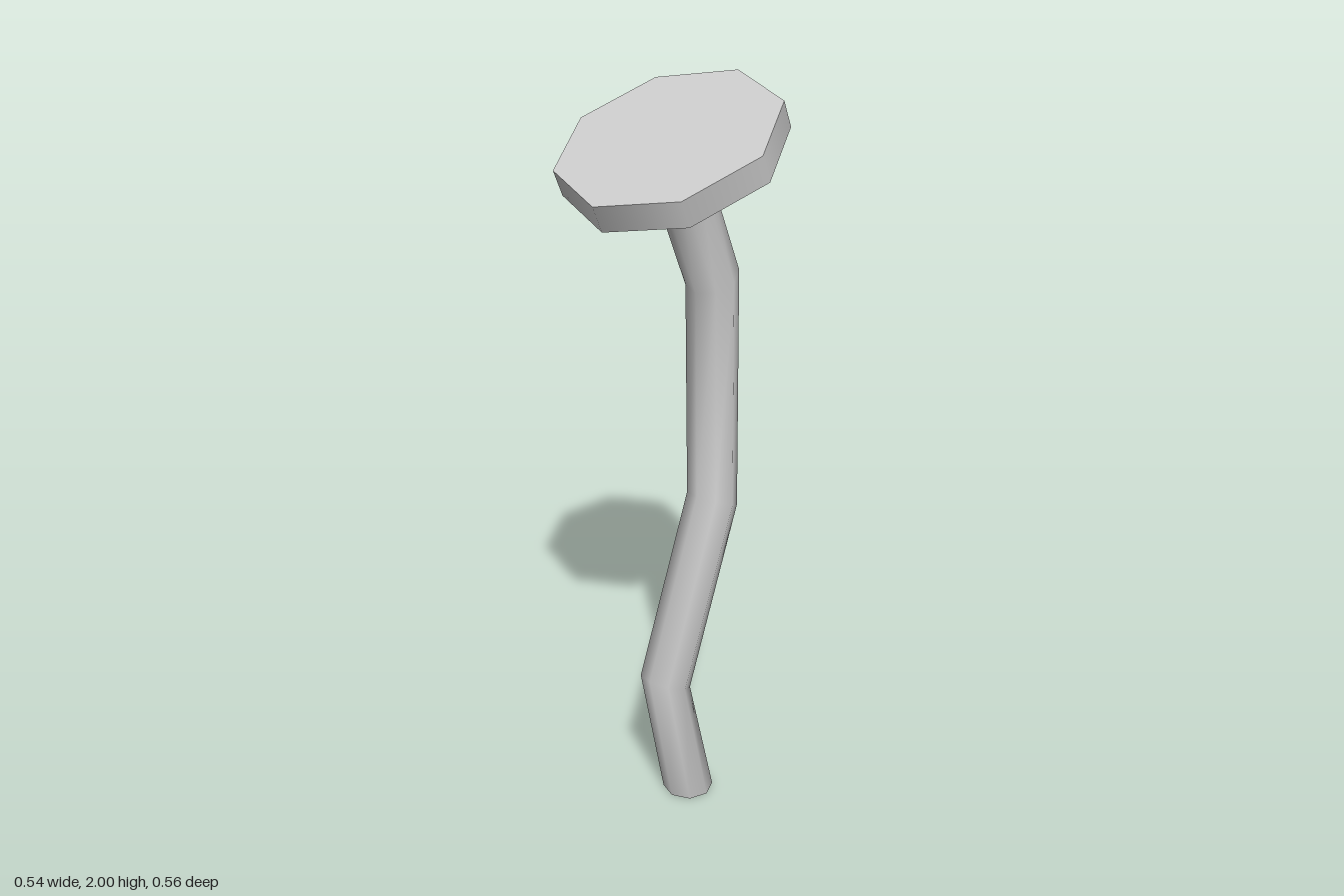
import * as THREE from 'three';

const SIDES = 8;
const RADIUS = 0.07;

// Bent tube from mitred rings: each ring is [left x, left y, right x, right y]
function bentTube(rings) {
  const pos = [], index = [];
  for (const [lx, ly, rx, ry] of rings) {
    for (let i = 0; i < SIDES; i++) {
      const a = (i / SIDES) * Math.PI * 2;
      const t = (1 + Math.cos(a)) / 2;
      pos.push(lx + (rx - lx) * t, ly + (ry - ly) * t, Math.sin(a) * RADIUS);
    }
  }
  for (let k = 0; k < rings.length - 1; k++) {
    for (let i = 0; i < SIDES; i++) {
      const a = k * SIDES + i, b = k * SIDES + ((i + 1) % SIDES);
      index.push(a, a + SIDES, b, b, a + SIDES, b + SIDES);
    }
  }
  const geo = new THREE.BufferGeometry();
  geo.setAttribute('position', new THREE.Float32BufferAttribute(pos, 3));
  geo.setIndex(index);
  geo.computeVertexNormals();
  return geo;
}

export function createModel() {
  const group = new THREE.Group();
  const material = new THREE.MeshStandardMaterial({ color: 0xcccccc });
  const add = (name, geometry) => {
    const mesh = new THREE.Mesh(geometry, material);
    mesh.name = name;
    group.add(mesh);
    return mesh;
  };

  // Crooked stem, its top end sunk slightly into the cap
  add('stem', bentTube([
    [0, 0, 0.14, 0],
    [-0.09, 0.425, 0.037, 0.37],
    [0.1, 0.91, 0.227, 0.855],
    [0.09, 1.475, 0.217, 1.53],
    [-0.055, 1.802, 0.073, 1.859],
  ]));

  // Closed foot of the stem
  const foot = add('stemBase', new THREE.CircleGeometry(RADIUS, SIDES));
  foot.rotation.x = Math.PI / 2;
  foot.position.x = 0.07;

  // Tilted eight-sided disc on top
  const cap = add('cap', new THREE.CylinderGeometry(0.28, 0.28, 0.072, SIDES));
  cap.position.set(0, 1.855, 0);
  cap.rotation.z = 0.416;

  return group;
}
